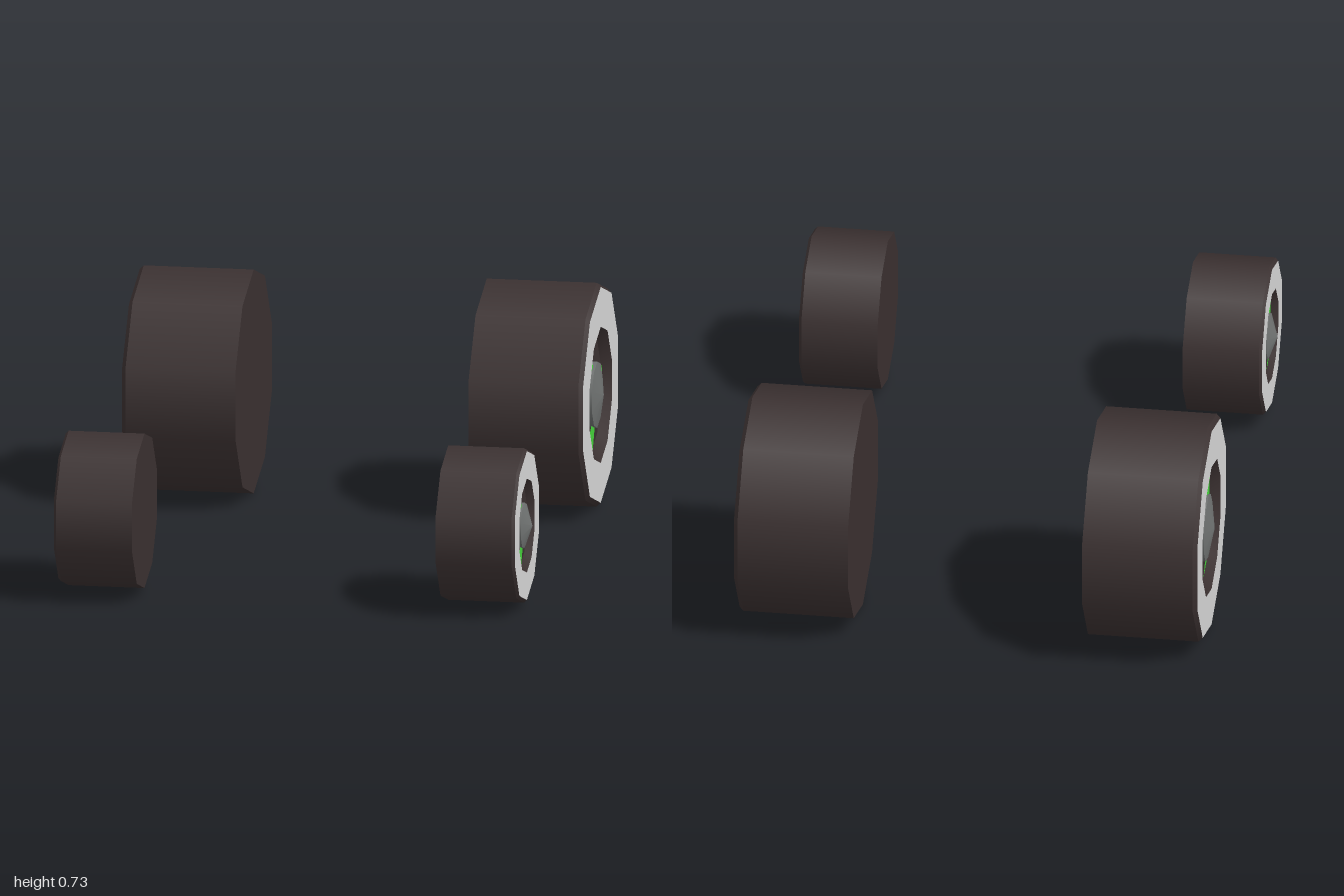
import * as THREE from 'three';

const SIDES = 10;
const STEP = (Math.PI * 2) / SIDES;

function makeMaterial(name, color) {
  const m = new THREE.MeshStandardMaterial({ color });
  m.name = name;
  return m;
}

// One band of a ten-sided turned shape around the x axis, from (r0, x0) to (r1, x1)
function band(name, material, r0, x0, r1, x1, start = Math.PI / 2, segments = SIDES) {
  const points = [new THREE.Vector2(r0, x0), new THREE.Vector2(r1, x1)];
  const geometry = new THREE.LatheGeometry(points, segments, start, segments * STEP);
  geometry.rotateZ(-Math.PI / 2);
  const mesh = new THREE.Mesh(geometry, material);
  mesh.name = name;
  return mesh;
}

// Wheel whose outer face lies at local x = 0 and points to +x
function makeWheel(name, side, capHeight, mats) {
  const { rubber, wall, spoke, hub } = mats;
  const wheel = new THREE.Group();
  wheel.name = name;

  // Tyre: plain inner face, tread, small bevel and pale side wall
  wheel.add(
    band('innerFace', rubber, 0, -0.367, 0.365, -0.367),
    band('tread', rubber, 0.365, -0.367, 0.365, -0.013),
    band('treadBevel', rubber, 0.365, -0.013, 0.352, 0),
    band('sideWall', wall, 0.352, 0, 0.222, 0)
  );

  // Recessed rim and domed hub cap
  wheel.add(
    band('rimLip', rubber, 0.222, 0, 0.187, -0.03),
    band('rimDisc', rubber, 0.187, -0.03, 0, -0.03),
    band('hubSide', hub, 0.108, -0.03, 0.108, -0.011),
    band('hubCap', hub, 0.108, -0.011, 0, capHeight)
  );

  // Three coloured spokes, mirrored between the two sides
  for (const degrees of [-18, 108, 234]) {
    const a = THREE.MathUtils.degToRad(degrees);
    const start = side > 0 ? a + Math.PI : -a - STEP;
    wheel.add(band('spoke', spoke, 0.185, -0.026, 0.1, -0.019, start, 1));
  }
  return wheel;
}

export function createModel() {
  const model = new THREE.Group();
  model.name = 'wheelSet';
  const mats = {
    rubber: makeMaterial('darkRubber', 0x3a3030),
    wall: makeMaterial('paleSideWall', 0xd6d6d6),
    spoke: makeMaterial('greenSpoke', 0x46d63c),
    hub: makeMaterial('greyHub', 0x6e7170),
  };

  const axles = [
    { name: 'front', y: 0.267, z: 0.76, scale: 0.69, cap: 0.026 },
    { name: 'rear', y: 0.365, z: -0.653, scale: 1, cap: 0.01 },
  ];
  for (const axle of axles) {
    for (const side of [1, -1]) {
      const name = axle.name + (side > 0 ? 'Left' : 'Right') + 'Wheel';
      const wheel = makeWheel(name, side, axle.cap, mats);
      wheel.scale.setScalar(axle.scale);
      wheel.position.set(side * 0.742, axle.y, axle.z);
      if (side < 0) wheel.rotation.y = Math.PI;
      model.add(wheel);
    }
  }
  return model;
}
